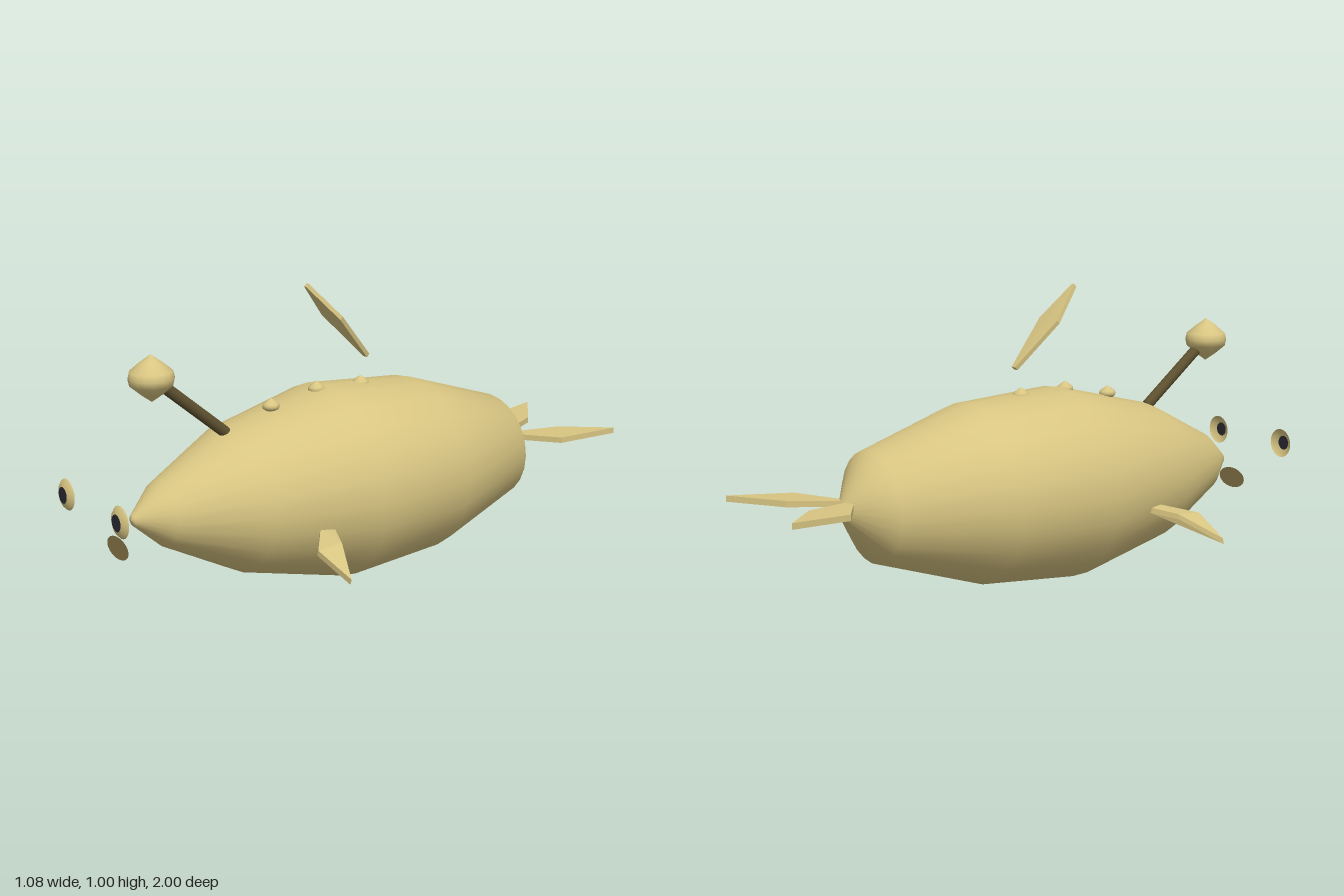
import * as THREE from 'three';
import { ConvexGeometry } from 'three/addons/geometries/ConvexGeometry.js';

const tan = new THREE.MeshStandardMaterial({ color: 0xd8c582, side: THREE.DoubleSide });
tan.name = 'tan';
const olive = new THREE.MeshStandardMaterial({ color: 0x5e5130 });
olive.name = 'dark olive';
const brown = new THREE.MeshStandardMaterial({ color: 0x8c7a4b, side: THREE.DoubleSide });
brown.name = 'mouth brown';
const dark = new THREE.MeshStandardMaterial({ color: 0x2a2a33, side: THREE.DoubleSide });
dark.name = 'pupil dark';

function part(parent, name, geometry, material, x = 0, y = 0, z = 0) {
  const mesh = new THREE.Mesh(geometry, material);
  mesh.name = name;
  mesh.position.set(x, y, z);
  parent.add(mesh);
  return mesh;
}

// Surface of revolution from [radius, height] pairs, bottom to top
function lathe(pairs, segments) {
  return new THREE.LatheGeometry(pairs.map(([r, h]) => new THREE.Vector2(r, h)), segments);
}

// Thin convex plate: the outline pushed both ways along the offset; side mirrors x
function plate(outline, offset, side = 1) {
  const o = new THREE.Vector3(...offset);
  const pts = outline.flatMap(([x, y, z]) => {
    const p = new THREE.Vector3(x * side, y, z);
    return [p.clone().add(o), p.clone().sub(o)];
  });
  return new ConvexGeometry(pts);
}

export function createModel() {
  const model = new THREE.Group();
  model.name = 'anglerFish';

  // Body, slightly wider than tall, nose towards +z
  const bodyGeo = lathe([
    [0, -0.712], [0.025, -0.71], [0.183, -0.605], [0.3, -0.24], [0.326, 0.12],
    [0.238, 0.49], [0.105, 0.75], [0.018, 0.85], [0, 0.855],
  ], 24);
  bodyGeo.rotateX(Math.PI / 2).scale(1.078, 1, 1);
  part(model, 'body', bodyGeo, tan, 0, 0.329, 0);

  // Lure: sloping rod with a pointed bulb
  const from = new THREE.Vector3(0, 0.555, 0.505);
  const to = new THREE.Vector3(0, 0.745, 0.735);
  const dir = to.clone().sub(from);
  const rod = part(model, 'lureRod', new THREE.CylinderGeometry(0.019, 0.019, dir.length(), 12), olive);
  rod.position.copy(from).lerp(to, 0.5);
  rod.quaternion.setFromUnitVectors(new THREE.Vector3(0, 1, 0), dir.normalize());
  const bulb = [[0, -0.075], [0.035, -0.05], [0.068, -0.022], [0.073, 0], [0.068, 0.022], [0.035, 0.05], [0, 0.075]];
  part(model, 'lureBulb', lathe(bulb, 16), tan, 0, 0.77, 0.768);

  // Back bumps
  const bump = lathe(bulb, 12).scale(0.39, 0.36, 0.39);
  for (const [y, z] of [[0.614, 0.33], [0.645, 0.15], [0.638, -0.03]]) {
    part(model, 'backBump', bump, tan, 0, y, z);
  }

  // Raised top fin
  part(model, 'topFin', plate([
    [-0.01, 0.73, -0.055], [0.01, 0.73, -0.055], [0.052, 0.88, 0.085],
    [0.006, 0.993, 0.187], [-0.006, 0.993, 0.187], [-0.052, 0.88, 0.085],
  ], [0, 0.005, -0.005]), tan);

  for (const s of [1, -1]) {
    const label = s > 0 ? 'left' : 'right';

    // Side fins, drooping outwards
    part(model, label + 'SideFin', plate([
      [0.29, 0.26, 0.29], [0.27, 0.265, 0.33], [0.39, 0.243, 0.425],
      [0.535, 0.187, 0.405], [0.39, 0.25, 0.335],
    ], [0.003, 0.009, 0], s), tan);

    // Tail fins
    part(model, label + 'TailFin', plate([
      [0.012, 0.35, -0.7], [0.08, 0.358, -0.865], [0.23, 0.365, -0.998],
      [0.19, 0.355, -0.78], [0.05, 0.35, -0.695],
    ], [0, 0.01, 0], s), tan);

    // Floating eyes: shallow ring with a pupil disc
    const ring = lathe([[0.051, 0], [0.043, 0.008], [0.025, 0.014]], 24).rotateX(Math.PI / 2);
    part(model, label + 'Eye', ring, tan, s * 0.17, 0.395, 0.984);
    part(model, label + 'Pupil', new THREE.CircleGeometry(0.027, 20), dark, s * 0.17, 0.395, 0.999);
  }

  // Floating oval mouth
  part(model, 'mouth', new THREE.CircleGeometry(1, 28).scale(0.067, 0.036, 1), brown, 0, 0.25, 0.905);

  return model;
}
